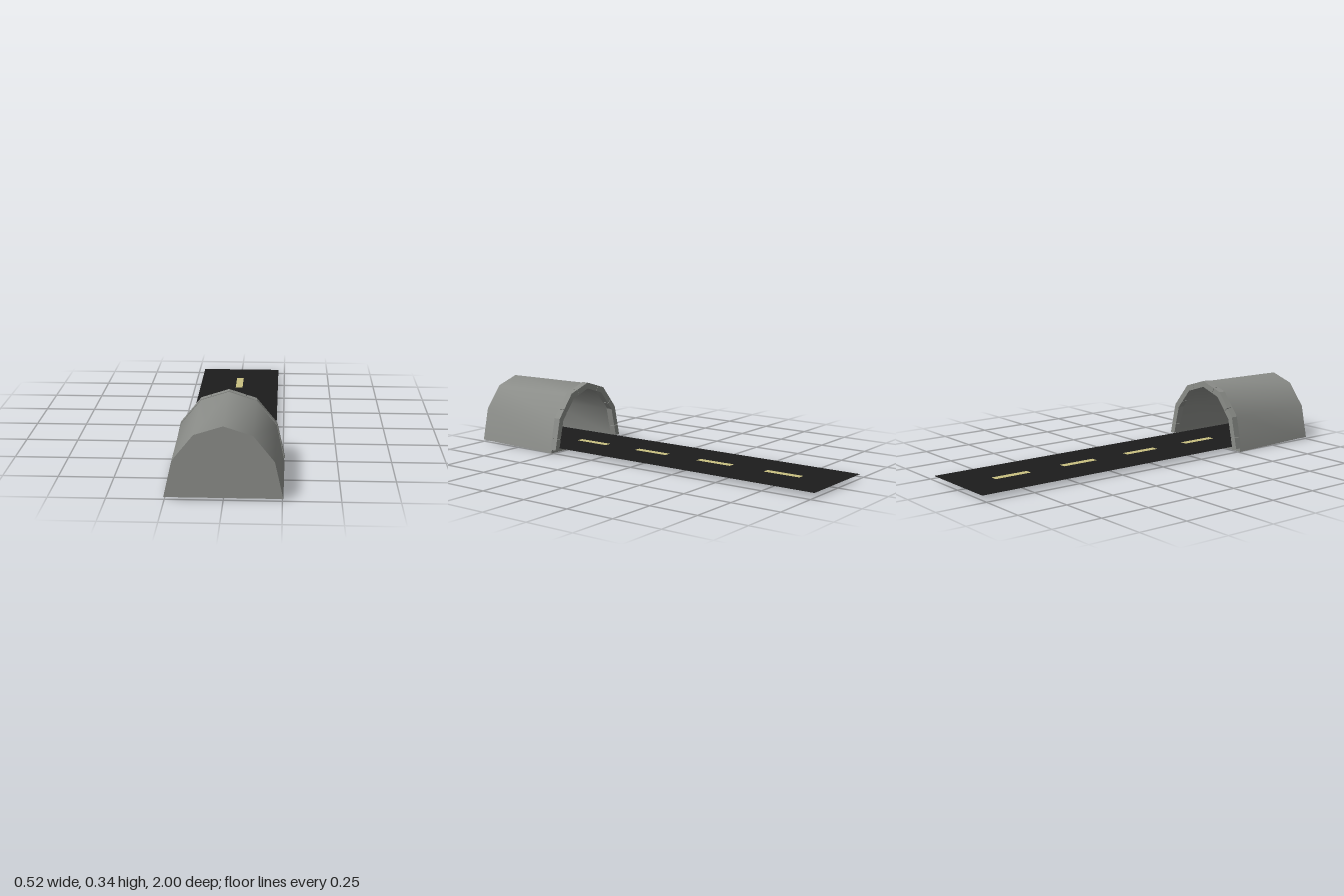
import * as THREE from 'three';
import { toCreasedNormals } from 'three/addons/utils/BufferGeometryUtils.js';

const stone = new THREE.MeshStandardMaterial({ color: 0x8a8c88 });
const asphalt = new THREE.MeshStandardMaterial({ color: 0x1c1c1c, side: THREE.DoubleSide });
const paint = new THREE.MeshStandardMaterial({ color: 0xc8c080, side: THREE.DoubleSide });

// Mirrors a half arch (foot to apex) into a full arch running from +x to -x
function arch(half) {
  return [...half, ...half.slice(0, -1).reverse().map(([x, y]) => [-x, y])];
}

// Skins closed sections from first to last, and caps both ends
function loft(sections) {
  const n = sections[0].pts.length;
  const pos = [], index = [];
  for (const { pts, z } of sections) for (const [x, y] of pts) pos.push(x, y, z);
  for (let s = 0; s < sections.length - 1; s++) {
    for (let i = 0; i < n; i++) {
      const a = s * n + i, b = s * n + (i + 1) % n;
      index.push(a, a + n, b, b, a + n, b + n);
    }
  }
  const last = (sections.length - 1) * n;
  for (let i = 1; i < n - 1; i++) {
    index.push(0, i, i + 1);
    index.push(last, last + i + 1, last + i);
  }
  // The last cap is the inner end wall, which faces the open mouth
  const geo = new THREE.BufferGeometry();
  geo.setAttribute('position', new THREE.Float32BufferAttribute(pos, 3));
  geo.setIndex(index);
  return toCreasedNormals(geo, 0.7);
}

function flatStrip(name, width, z0, z1, y, material) {
  const mesh = new THREE.Mesh(new THREE.PlaneGeometry(width, z1 - z0).rotateX(-Math.PI / 2), material);
  mesh.position.set(0, y, (z0 + z1) / 2);
  mesh.name = name;
  return mesh;
}

export function createModel() {
  const model = new THREE.Group();
  model.name = 'roadTunnel';

  // Tunnel shell, closed at the front and hollow from the back
  const outerFront = arch([[0.254, 0.011], [0.217, 0.175], [0.125, 0.289], [0, 0.329]]);
  const outerBack = arch([[0.257, 0.001], [0.22, 0.178], [0.126, 0.294], [0, 0.335]]);
  const inner = arch([[0.23, 0.018], [0.195, 0.168], [0.111, 0.27], [0, 0.307]]);
  const shell = new THREE.Mesh(loft([
    { pts: outerFront, z: 1 },
    { pts: outerBack, z: 0.51 },
    { pts: inner, z: 0.51 },
    { pts: inner, z: 0.97 },
  ]), stone);
  shell.name = 'tunnelShell';
  model.add(shell);

  // Base plate under the shell, following its slight slope
  const plate = new THREE.Mesh(new THREE.BoxGeometry(0.47, 0.004, 0.42), stone);
  plate.position.set(0, 0.007, 0.755);
  plate.rotation.x = -0.0204;
  plate.name = 'basePlate';
  model.add(plate);

  // Portal ring of stone blocks, two on each facet of the arch
  const ring = new THREE.Group();
  ring.name = 'portalRing';
  const ringOut = arch([[0.258, 0.02], [0.222, 0.18], [0.127, 0.297], [0, 0.338]]);
  const ringIn = arch([[0.229, 0.02], [0.195, 0.168], [0.111, 0.27], [0, 0.307]]);
  const along = (pts, i, t) => new THREE.Vector2(...pts[i]).lerp(new THREE.Vector2(...pts[i + 1]), t);
  const joint = 0.008;
  for (let i = 0; i < ringOut.length - 1; i++) {
    const split = i < 3 ? 0.36 : 0.64;
    for (const [t0, t1] of [[0, split - joint], [split + joint, 1]]) {
      const outline = new THREE.Shape([
        along(ringOut, i, t0), along(ringOut, i, t1), along(ringIn, i, t1), along(ringIn, i, t0),
      ]);
      const block = new THREE.Mesh(
        new THREE.ExtrudeGeometry(outline, { depth: 0.035, bevelEnabled: false }), stone);
      block.position.z = 0.48;
      block.name = 'portalBlock';
      ring.add(block);
    }
  }
  model.add(ring);

  // Road running out of the tunnel, with a dashed centre line
  model.add(flatStrip('road', 0.43, -1, 0.968, 0.023, asphalt));
  for (let i = 0; i < 5; i++) {
    const z = -0.81 + i * 0.385;
    const dash = flatStrip('laneDash', 0.038, z, z + 0.195, 0.025, paint);
    model.add(dash);
    // Matching dash on the underside of the exposed road
    if (i < 4) model.add(flatStrip('laneDashUnderside', 0.038, z, Math.min(z + 0.195, 0.5), 0.021, paint));
  }
  return model;
}
